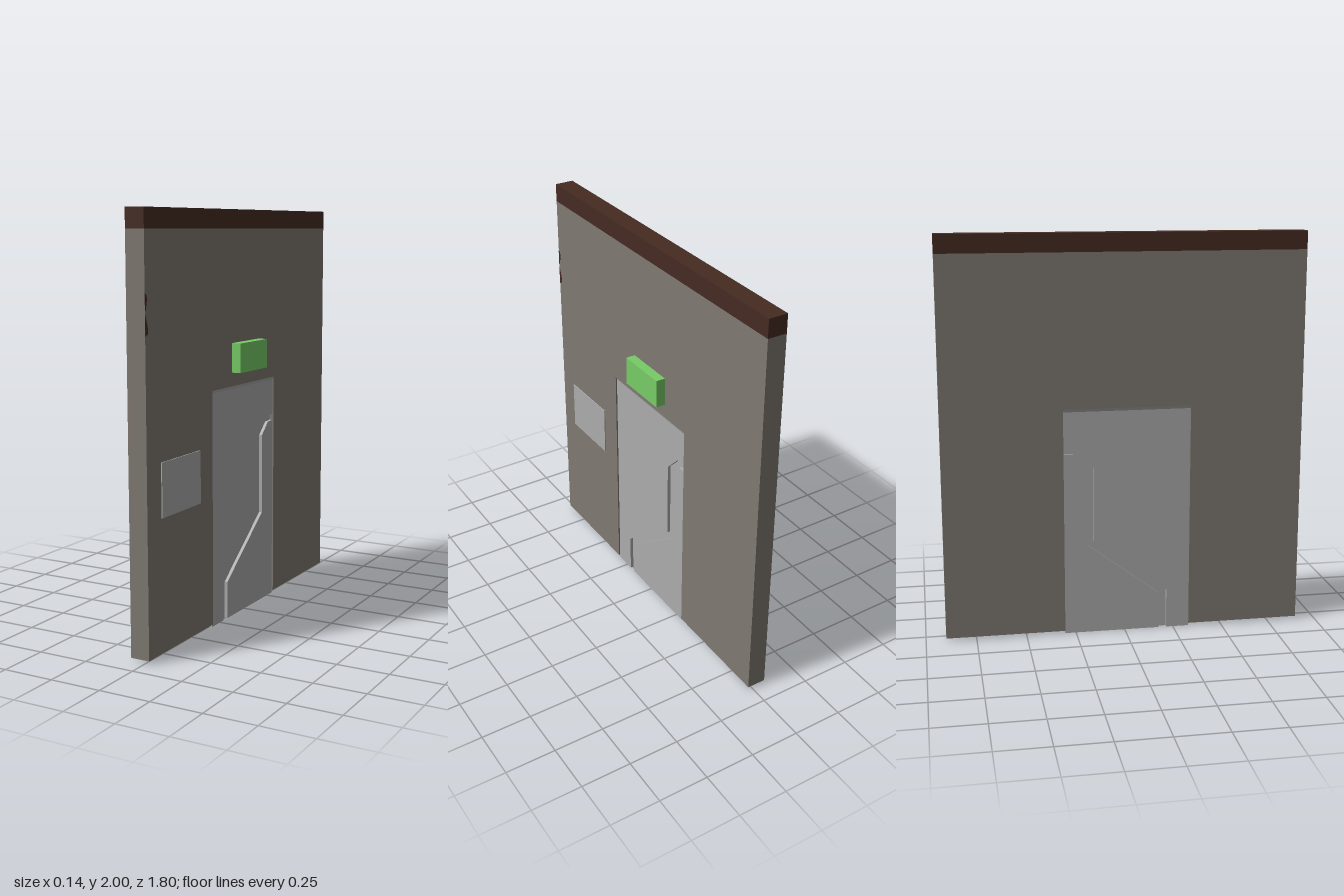
import * as THREE from 'three';

const mat = (name, color) => {
  const m = new THREE.MeshStandardMaterial({ color });
  m.name = name;
  return m;
};

export function createModel() {
  const group = new THREE.Group();
  const plaster = mat('warm grey wall', 0x7f7a72);
  const brown = mat('dark brown', 0x452b22);
  const metal = mat('light grey metal', 0xacacac);
  const green = mat('sign green', 0x78cc66);
  const FRONT = 0.022, BACK = -0.073;

  const add = (name, geometry, material) => {
    const mesh = new THREE.Mesh(geometry, material);
    mesh.name = name;
    group.add(mesh);
    return mesh;
  };
  // Box given by its limits on each axis
  const box = (name, material, x0, x1, y0, y1, z0, z1) => {
    const mesh = add(name, new THREE.BoxGeometry(x1 - x0, y1 - y0, z1 - z0), material);
    mesh.position.set((x0 + x1) / 2, (y0 + y1) / 2, (z0 + z1) / 2);
  };
  // Outline of [z, y] points, extruded along x
  const slab = (name, material, points, x0, x1) => {
    const shape = new THREE.Shape(points.map(([z, y]) => new THREE.Vector2(-z, y)));
    const g = new THREE.ExtrudeGeometry(shape, { depth: x1 - x0, bevelEnabled: false });
    add(name, g.rotateY(Math.PI / 2).translate(x0, 0, 0), material);
  };

  // Wall with the doorway cut out, and its top trim
  slab('wall', plaster, [
    [0.9, 0.015], [0.33, 0.015], [0.33, 1.155], [-0.305, 1.155],
    [-0.305, 0.015], [-0.9, 0.015], [-0.9, 1.91], [0.9, 1.91],
  ], BACK, FRONT);
  box('topTrim', brown, BACK, FRONT, 1.91, 2, -0.9, 0.9);

  // Two interlocking door leaves with a stepped channel between them
  const nearEdge = [[0.215, 0], [0.215, 0.2], [-0.155, 0.475], [-0.155, 0.875], [-0.24, 0.96], [-0.305, 0.96]];
  const farEdge = [[0.175, 0], [0.175, 0.185], [-0.19, 0.46], [-0.19, 0.865], [-0.255, 0.925], [-0.305, 0.928]];
  slab('upperDoorLeaf', metal, [[0.33, 0], ...nearEdge, [-0.305, 1.14], [0.33, 1.14]], -0.066, 0.015);
  slab('lowerDoorLeaf', metal, [...farEdge, [-0.305, 0]], -0.066, 0.015);
  box('doorCore', metal, -0.05, -0.001, 0.001, 1.139, -0.304, 0.329);

  // Sloped lintel above the door
  const lintel = new THREE.Shape([
    [BACK, 1.155], [-0.066, 1.14], [0.015, 1.14], [FRONT, 1.155],
  ].map(([x, y]) => new THREE.Vector2(x, y)));
  add('lintel', new THREE.ExtrudeGeometry(lintel, { depth: 0.635, bevelEnabled: false })
    .translate(0, 0, -0.305), metal);

  // Sign box and wall panel
  box('signBox', green, FRONT, 0.07, 1.222, 1.365, -0.135, 0.14);
  box('wallPanel', metal, FRONT, 0.027, 0.64, 0.892, 0.45, 0.785);

  // Worn patches at the wall edge
  slab('upperStain', brown, [[0.9, 1.56], [0.893, 1.57], [0.884, 1.61], [0.886, 1.63], [0.9, 1.64]], FRONT, FRONT + 0.001);
  slab('lowerStain', brown, [[0.9, 1.455], [0.88, 1.465], [0.879, 1.49], [0.892, 1.53], [0.9, 1.55]], FRONT, FRONT + 0.001);

  return group;
}
